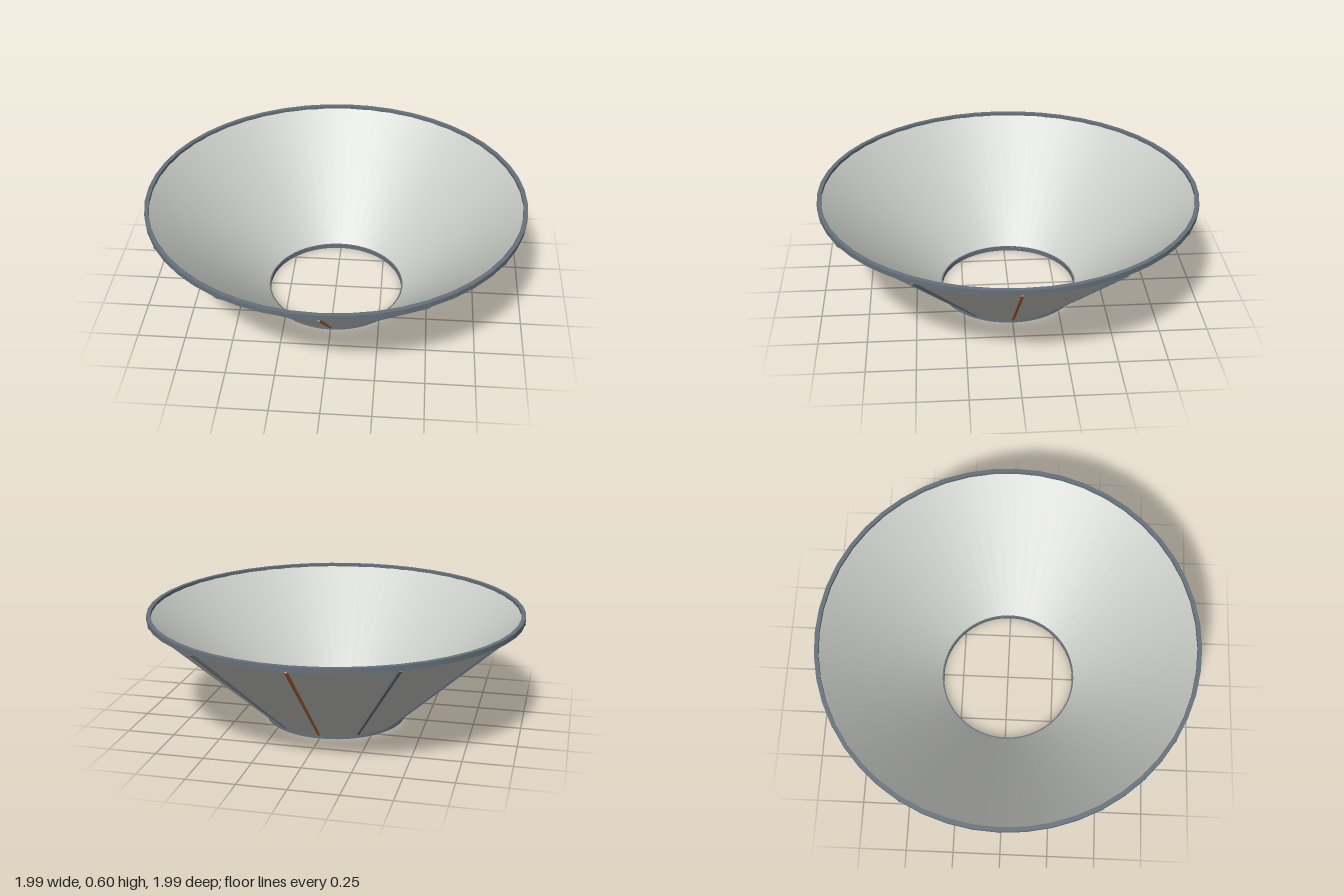
import * as THREE from 'three';
import { toCreasedNormals } from 'three/addons/utils/BufferGeometryUtils.js';

const paint = (name, color) => {
  const m = new THREE.MeshStandardMaterial({ color });
  m.name = name;
  return m;
};

// Closed ring turned from a counter-clockwise (radius, height) profile
function turned(name, profile, segments, material) {
  const pts = [...profile, profile[0]].map(([r, y]) => new THREE.Vector2(r, y));
  const geo = toCreasedNormals(new THREE.LatheGeometry(pts, segments), 0.5);
  const mesh = new THREE.Mesh(geo, material);
  mesh.name = name;
  return mesh;
}

export function createModel() {
  const group = new THREE.Group();
  group.name = 'conicalShade';
  const panel = paint('pale grey panel', 0xc9cbc6);
  const steel = paint('slate steel', 0x66717b);
  const copper = paint('copper', 0xb8683a);

  // Thin flared shell, open at both ends
  group.add(turned('shell',
    [[0.372, 0.012], [0.986, 0.577], [0.972, 0.584], [0.36, 0.018]], 64, panel));

  // Flat rims at the mouth and the base
  group.add(turned('topRim',
    [[0.972, 0.574], [0.994, 0.574], [0.994, 0.6], [0.972, 0.6]], 48, steel));
  group.add(turned('bottomRim',
    [[0.36, 0], [0.376, 0], [0.376, 0.025], [0.36, 0.025]], 48, steel));

  // Twelve slanted ribs along the outside, every third one copper
  const low = new THREE.Vector2(0.382, 0.026);
  const high = new THREE.Vector2(0.991, 0.575);
  const run = high.clone().sub(low);
  const ribGeo = new THREE.BoxGeometry(0.013, run.length(), 0.014);
  ribGeo.rotateX(Math.atan2(run.x, run.y));
  ribGeo.translate(0, (low.y + high.y) / 2, (low.x + high.x) / 2);
  for (let i = 0; i < 12; i++) {
    const accent = i % 3 === 0;
    const rib = new THREE.Mesh(ribGeo, accent ? copper : steel);
    rib.name = accent ? 'copperRib' : 'steelRib';
    rib.rotation.y = (i * Math.PI) / 6;
    group.add(rib);
  }
  return group;
}
